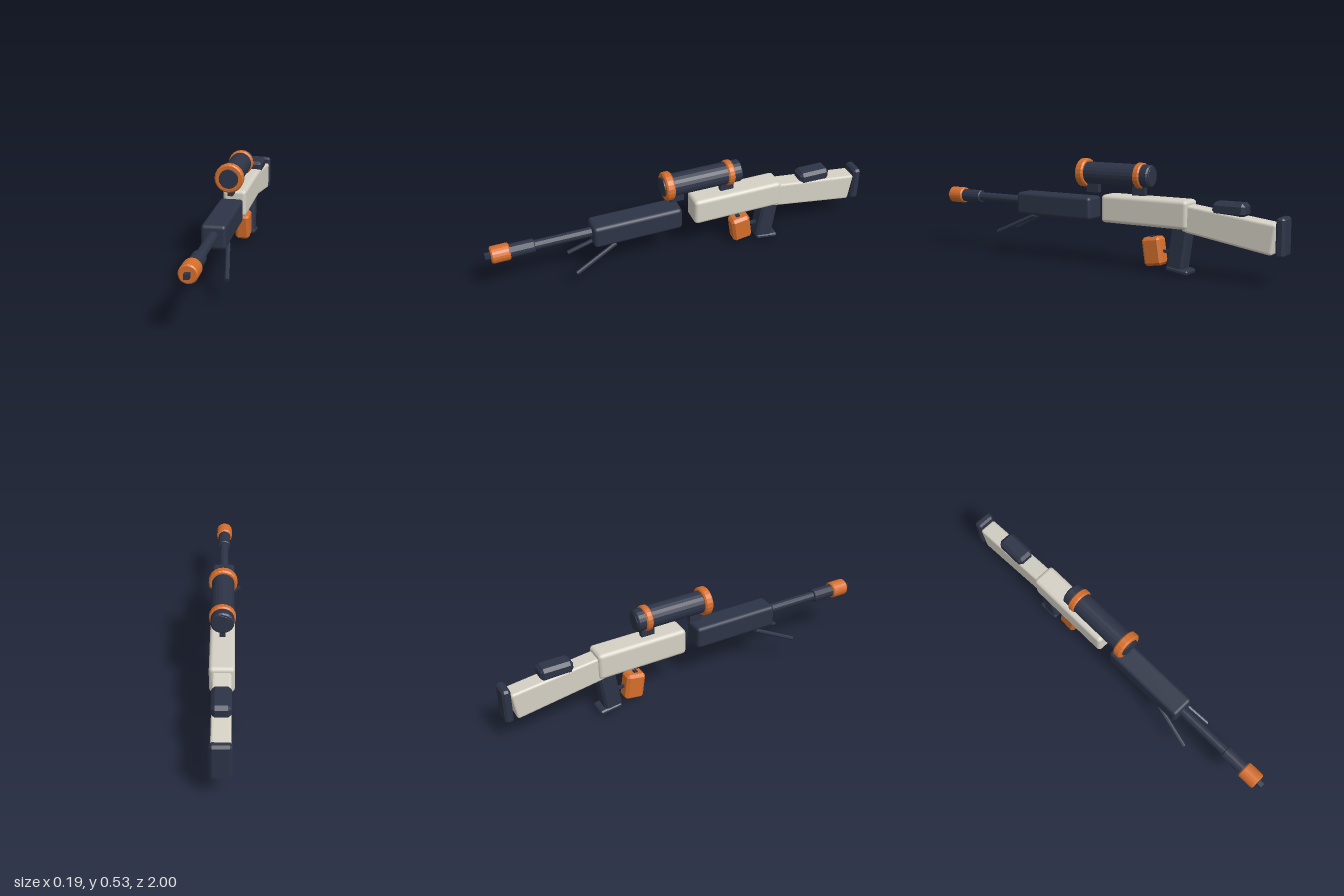
import * as THREE from 'three';
import { RoundedBoxGeometry } from 'three/addons/geometries/RoundedBoxGeometry.js';
import { ConvexGeometry } from 'three/addons/geometries/ConvexGeometry.js';

function makeMaterial(name, color) {
  const m = new THREE.MeshStandardMaterial({ color });
  m.name = name;
  return m;
}

// Flat-shaded solid of revolution along z; profile is [radius, z] pairs, rear to front
function turned(profile, sides) {
  const pts = profile.map(([r, z]) => new THREE.Vector2(r, z));
  const g = new THREE.LatheGeometry(pts, sides).rotateX(Math.PI / 2).toNonIndexed();
  g.computeVertexNormals();
  return g;
}

// Bevelled rod or ring from z0 (rear) to z1 (front)
function rod(r, z0, z1, bevel, sides = 20) {
  return turned([[0, z0], [r - bevel, z0], [r, z0 + bevel], [r, z1 - bevel], [r - bevel, z1], [0, z1]], sides);
}

// Box with every edge cut by a single flat chamfer
function chamferBox(w, h, d, c) {
  const pts = [];
  for (const x of [-1, 1]) for (const y of [-1, 1]) for (const z of [-1, 1]) {
    const a = w / 2, b = h / 2, e = d / 2;
    pts.push(new THREE.Vector3(x * a, y * (b - c), z * (e - c)));
    pts.push(new THREE.Vector3(x * (a - c), y * b, z * (e - c)));
    pts.push(new THREE.Vector3(x * (a - c), y * (b - c), z * e));
  }
  return new ConvexGeometry(pts);
}

export function createModel() {
  const navy = makeMaterial('navy', 0x2d3447);
  const orange = makeMaterial('orange', 0xd56e2b);
  const cream = makeMaterial('cream', 0xd5d1c5);

  const model = new THREE.Group();
  model.name = 'toyBlaster';
  const add = (name, geometry, material, x = 0, y = 0, z = 0, tilt = 0) => {
    const mesh = new THREE.Mesh(geometry, material);
    mesh.name = name;
    mesh.position.set(x, y, z);
    mesh.rotation.x = tilt;
    model.add(mesh);
    return mesh;
  };

  // Main bodies
  add('receiver', new RoundedBoxGeometry(0.12, 0.14, 0.475, 2, 0.02), cream, 0, 0.291, -0.283);
  add('handguard', new RoundedBoxGeometry(0.118, 0.118, 0.458, 2, 0.018), navy, 0, 0.281, 0.25);

  // Stock, slightly deeper towards the rear
  const stock = new RoundedBoxGeometry(0.09, 0.138, 0.46, 2, 0.012);
  const p = stock.attributes.position;
  for (let i = 0; i < p.count; i++) p.setY(i, p.getY(i) * (1 - 0.25 * p.getZ(i)));
  stock.computeVertexNormals();
  add('stock', stock, cream, 0, 0.244, -0.72, -0.14);
  add('buttPlate', chamferBox(0.098, 0.182, 0.042, 0.011), navy, 0, 0.226, -0.977);
  add('cheekRest', chamferBox(0.09, 0.066, 0.165, 0.016), navy, 0, 0.333, -0.722);

  // Barrel and muzzle
  add('barrel', rod(0.024, 0.45, 0.8, 0.002, 16), navy, 0, 0.29);
  add('barrelSleeve', rod(0.034, 0.762, 0.89, 0.004, 16), navy, 0, 0.29);
  add('muzzle', rod(0.043, 0.882, 0.973, 0.006), orange, 0, 0.29);
  add('muzzlePin', new THREE.BoxGeometry(0.024, 0.024, 0.06), navy, 0, 0.29, 0.97);

  // Scope
  const scopeY = 0.46;
  add('scopeTube', rod(0.056, -0.303, 0.08, 0.007), navy, 0, scopeY);
  add('scopeFrontRing', rod(0.072, 0.06, 0.103, 0.007), orange, 0, scopeY);
  add('scopeRearRing', rod(0.064, -0.26, -0.225, 0.006), orange, 0, scopeY);
  add('frontLens', rod(0.048, 0.09, 0.11, 0.001), navy, 0, scopeY);
  add('rearLens', rod(0.042, -0.306, -0.29, 0.001), navy, 0, scopeY);
  for (const z of [0.033, -0.235]) {
    add('scopeMount', new THREE.BoxGeometry(0.027, 0.06, 0.07), navy, 0, 0.393, z);
  }

  // Grip, magazine and trigger
  add('grip', chamferBox(0.086, 0.225, 0.09, 0.012), navy, 0, 0.13, -0.462, -0.14);
  add('gripFoot', chamferBox(0.096, 0.024, 0.118, 0.007), navy, 0, 0.02, -0.464, -0.14);
  add('magazine', chamferBox(0.076, 0.14, 0.102, 0.014), orange, 0, 0.097, -0.322, 0.15);
  add('magazineStud', new THREE.BoxGeometry(0.02, 0.014, 0.02), navy, 0, 0.166, -0.308, 0.15);
  add('trigger', new THREE.BoxGeometry(0.014, 0.014, 0.06), navy, 0, 0.101, -0.39);

  // Splayed support legs
  for (const side of [-1, 1]) {
    const top = new THREE.Vector3(side * 0.049, 0.222, 0.37);
    const foot = new THREE.Vector3(side * 0.085, 0.123, 0.585);
    const dir = foot.clone().sub(top);
    const g = new THREE.CylinderGeometry(0.011, 0.011, dir.length(), 8).toNonIndexed();
    g.computeVertexNormals();
    const leg = add(side > 0 ? 'leftLeg' : 'rightLeg', g, navy);
    leg.position.copy(top).add(foot).multiplyScalar(0.5);
    leg.quaternion.setFromUnitVectors(new THREE.Vector3(0, 1, 0), dir.normalize());
  }
  return model;
}
